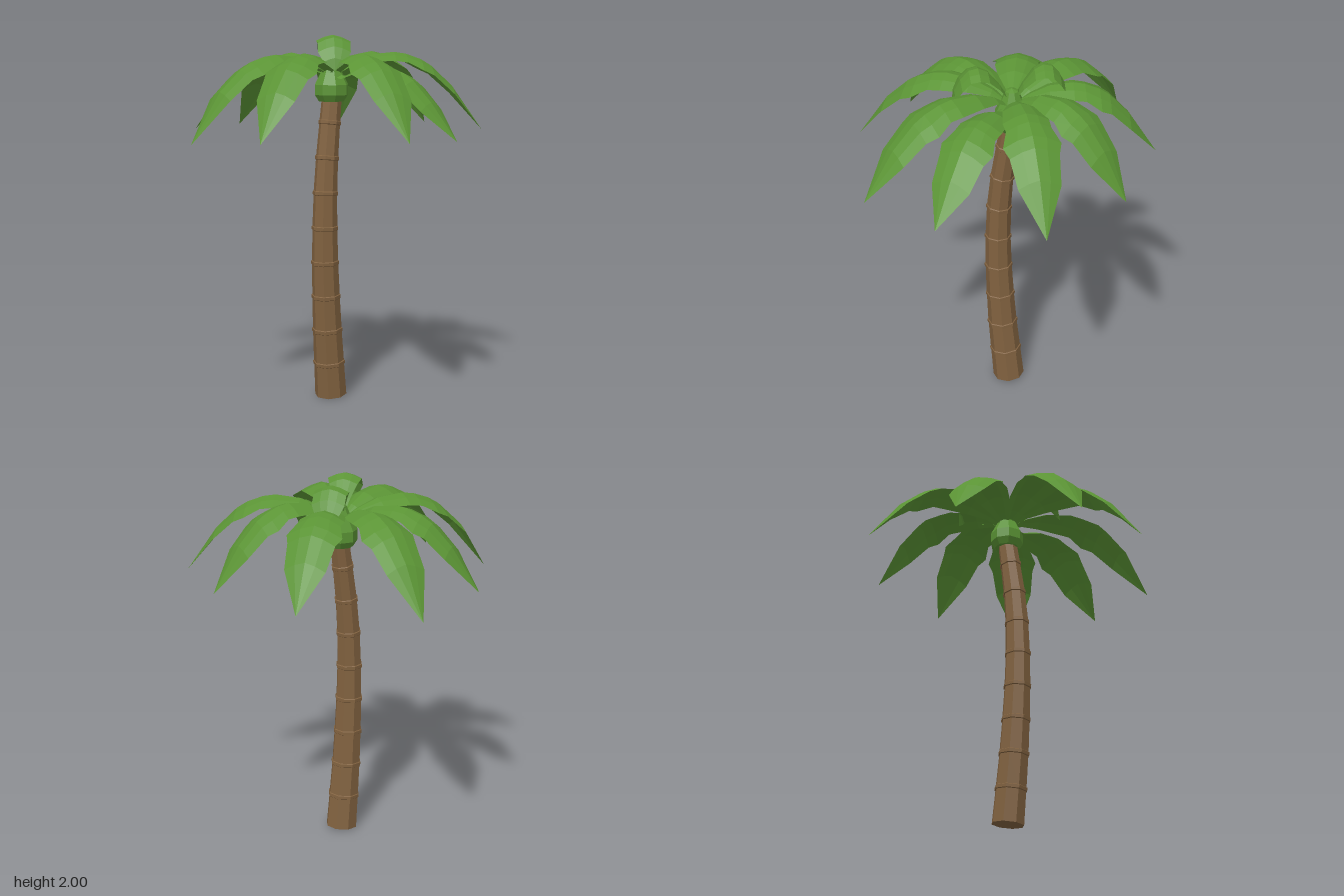
import * as THREE from 'three';

const bark = new THREE.MeshStandardMaterial({ color: 0x80613f, flatShading: true });
const leaf = new THREE.MeshStandardMaterial({ color: 0x5b9435, flatShading: true, side: THREE.DoubleSide });
const CENTRE = new THREE.Vector3(0.01, 0, -0.075);

function toGeometry(points, index) {
  const g = new THREE.BufferGeometry();
  g.setAttribute('position', new THREE.Float32BufferAttribute(points, 3));
  g.setIndex(index);
  const flat = g.toNonIndexed();
  flat.computeVertexNormals();
  return flat;
}

// Curved, tapering trunk: one loft of eight-sided sections with a lip at each growth ring
function makeTrunk() {
  const path = new THREE.CatmullRomCurve3([
    [0.01, -0.066], [0.2, -0.046], [0.4, -0.026], [0.77, -0.003],
    [0.95, 0], [1.14, -0.005], [1.33, -0.022], [1.52, -0.05], [1.72, -0.082],
  ].map(([y, z]) => new THREE.Vector3(0.013, y, z)));
  const sides = 8, rings = 9, sections = [[0, 0.088]];
  for (let i = 1; i < rings; i++) {
    const t = i / rings, r = 0.088 - 0.035 * t;
    sections.push([t - 0.008, r], [t - 0.006, r + 0.005], [t + 0.004, r + 0.005], [t + 0.006, r]);
  }
  sections.push([1, 0.053]);
  const points = [], index = [];
  for (const [t, r] of sections) {
    const p = path.getPointAt(t), d = path.getTangentAt(t);
    for (let j = 0; j < sides; j++) {
      const a = ((j + 0.5) / sides) * Math.PI * 2;
      const s = Math.sin(a) * r, c = Math.cos(a) * r;
      points.push(p.x + s, p.y - c * d.z, p.z + c * d.y);
    }
  }
  for (let i = 0; i < sections.length - 1; i++) {
    for (let j = 0; j < sides; j++) {
      const a = i * sides + j, b = i * sides + (j + 1) % sides;
      index.push(a, b, a + sides, b, b + sides, a + sides);
    }
  }
  for (let j = 1; j < sides - 1; j++) index.push(0, j + 1, j); // bottom cap
  const mesh = new THREE.Mesh(toGeometry(points, index), bark);
  mesh.name = 'trunk';
  return mesh;
}

// Arched leaf. Each station is [distance along, half width, height of the midrib]
function makeFrond(name, dx, dz, stations, droop) {
  const length = Math.hypot(dx, dz), ux = dx / length, uz = dz / length;
  const across = [-1, -0.5, 0, 0.5, 1], n = across.length;
  const points = [], index = [];
  stations.forEach(([t, w, y], i) => {
    for (const u of across) {
      const r = t * length, s = u * w;
      points.push(CENTRE.x + ux * r - uz * s, y - droop * Math.abs(u) ** 1.5 * w, CENTRE.z + uz * r + ux * s);
    }
    if (i === stations.length - 1) return;
    for (let j = 0; j < n - 1; j++) {
      const a = i * n + j;
      index.push(a, a + 1, a + n);
      if (stations[i + 1][1] > 0) index.push(a + 1, a + n + 1, a + n);
    }
  });
  const mesh = new THREE.Mesh(toGeometry(points, index), leaf);
  mesh.name = name;
  return mesh;
}

export function createModel() {
  const group = new THREE.Group();
  group.name = 'palmTree';
  group.add(makeTrunk());

  // Green bud holding the fronds
  const profile = [[0, 1.645], [0.07, 1.645], [0.093, 1.68], [0.093, 1.735], [0.06, 1.8], [0.035, 1.86], [0, 1.875]];
  const crown = new THREE.Mesh(new THREE.LatheGeometry(profile.map(([x, y]) => new THREE.Vector2(x, y)), 8), leaf);
  crown.position.copy(CENTRE);
  crown.name = 'crown';
  group.add(crown);

  // Large drooping fronds: horizontal reach in x and z, tip height, crest height
  const fronds = [
    [-0.335, -0.68, 1.49, 1.9], [0.215, -0.705, 1.495, 1.91], [0.677, -0.47, 1.49, 1.91],
    [0.78, 0.065, 1.465, 1.845], [0.72, 0.48, 1.485, 1.91], [0.095, 0.845, 1.48, 1.91],
    [-0.37, 0.78, 1.45, 1.9], [-0.735, 0.245, 1.48, 1.89], [-0.81, -0.3, 1.47, 1.9],
  ];
  fronds.forEach(([dx, dz, tip, crest], i) => {
    const stations = [
      [0.02, 0.02, 1.79], [0.12, 0.045, crest - 0.06], [0.25, 0.088, crest - 0.015],
      [0.41, 0.115, crest], [0.49, 0.112, crest - 0.01], [0.59, 0.143, crest - 0.04],
      [0.66, 0.122, crest - 0.075], [0.8, 0.105, crest - 0.185], [1, 0, tip],
    ];
    group.add(makeFrond(`frond${i + 1}`, dx, dz, stations, 0.4));
  });

  // Two young fronds rising from the middle and curling over
  const young = [
    [0.05, 0.02, 1.82], [0.2, 0.045, 1.9], [0.4, 0.075, 1.975], [0.56, 0.09, 2],
    [0.72, 0.085, 1.99], [0.86, 0.085, 1.945], [0.96, 0.06, 1.885], [1, 0, 1.82],
  ];
  group.add(makeFrond('youngFrondFront', 0.17, 0.255, young, 0.35));
  group.add(makeFrond('youngFrondBack', -0.135, -0.25, young, 0.35));
  return group;
}
